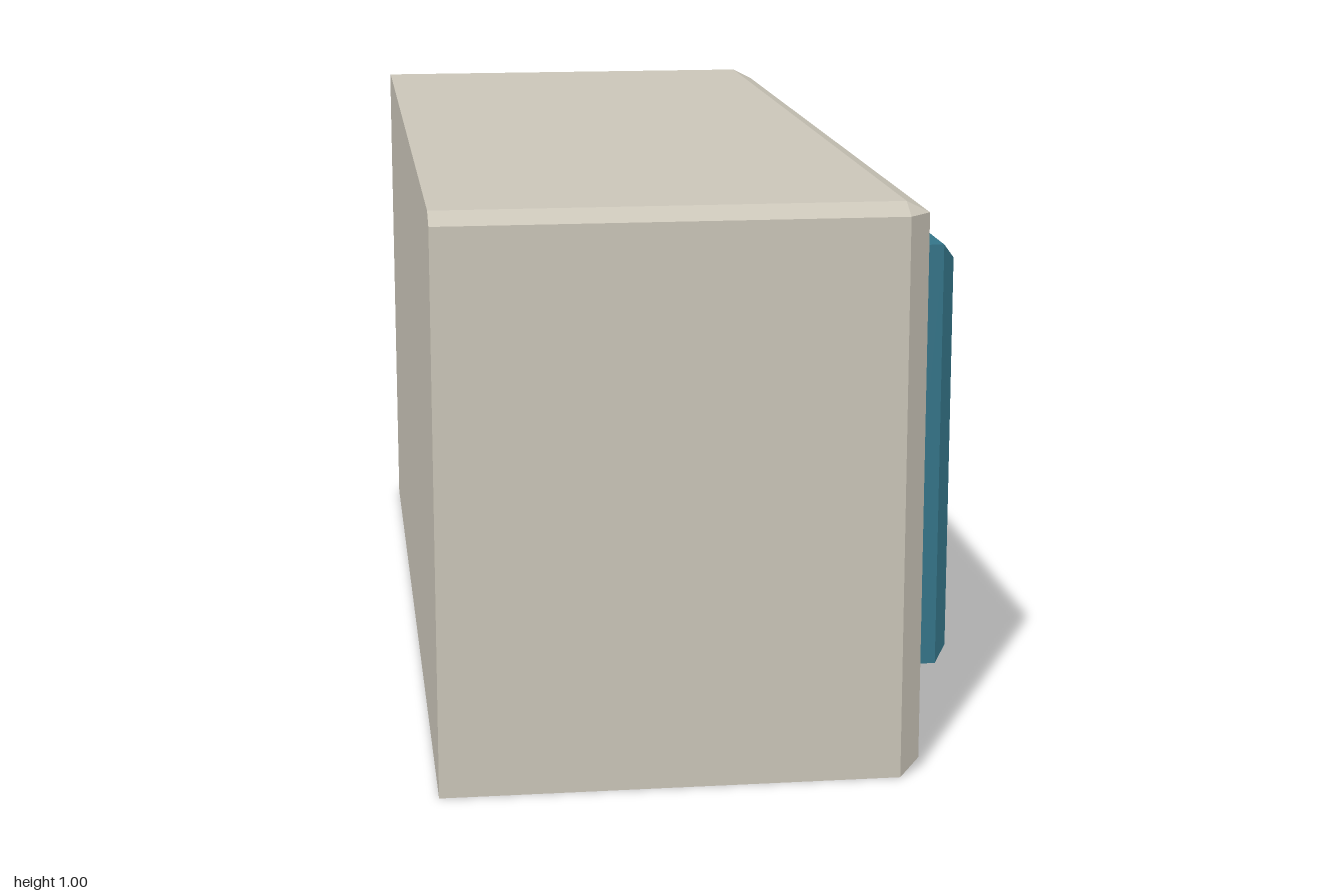
import * as THREE from 'three';
import { ConvexGeometry } from 'three/addons/geometries/ConvexGeometry.js';

const shell = new THREE.MeshStandardMaterial({ name: 'warmGrey', color: 0xcac5b8 });
const panel = new THREE.MeshStandardMaterial({ name: 'tealBlue', color: 0x347488 });

// Points of a cross-section [y, z] placed at a given x
const section = (x, pts) => pts.map(([y, z]) => new THREE.Vector3(x, y, z));
const rect = (y0, y1, z0, z1) => [[y0, z0], [y0, z1], [y1, z1], [y1, z0]];

function convex(name, points, material) {
  const mesh = new THREE.Mesh(new ConvexGeometry(points), material);
  mesh.name = name;
  return mesh;
}

// Block centred on y = 0, z = 0 with its +x face bevelled
function bevelBlock(name, x0, x1, h, w, bevelX, bevelY, bevelZ, material) {
  const outer = rect(-h / 2, h / 2, -w / 2, w / 2);
  const inner = rect(-h / 2 + bevelY, h / 2 - bevelY, -w / 2 + bevelZ, w / 2 - bevelZ);
  return convex(name, [
    ...section(x0, outer), ...section(x1 - bevelX, outer), ...section(x1, inner),
  ], material);
}

// Bracket handle: bevelled grip on two posts
function makeHandle() {
  const handle = new THREE.Group();
  handle.name = 'handle';
  handle.add(bevelBlock('grip', 0.465, 0.505, 0.24, 0.1, 0.013, 0.006, 0.01, shell));
  for (const s of [-1, 1]) {
    const post = new THREE.Mesh(new THREE.BoxGeometry(0.055, 0.06, 0.1), shell);
    post.name = 'handlePost';
    post.position.set(0.4375, s * 0.09, 0);
    handle.add(post);
  }
  return handle;
}

export function createModel() {
  const cabinet = new THREE.Group();
  cabinet.name = 'wallCabinet';

  // Body: bevelled around the door side and along the two upper end edges
  const profile = [[0, -1], [0, 1], [0.98, 1], [1, 0.96], [1, -0.96], [0.98, -1]];
  cabinet.add(convex('body', [
    ...section(-0.505, profile), ...section(0.29, profile),
    ...section(0.33, rect(0.02, 0.98, -0.96, 0.96)),
  ], shell));

  // Mirrored pair of doors with handles near the middle
  for (const s of [-1, 1]) {
    const door = bevelBlock('door', 0.33, 0.41, 0.757, 0.8, 0.022, 0.027, 0.022, panel);
    door.position.set(0, 0.521, s * 0.42);
    const handle = makeHandle();
    handle.position.set(0, 0.37, s * 0.15);
    cabinet.add(door, handle);
  }
  return cabinet;
}
